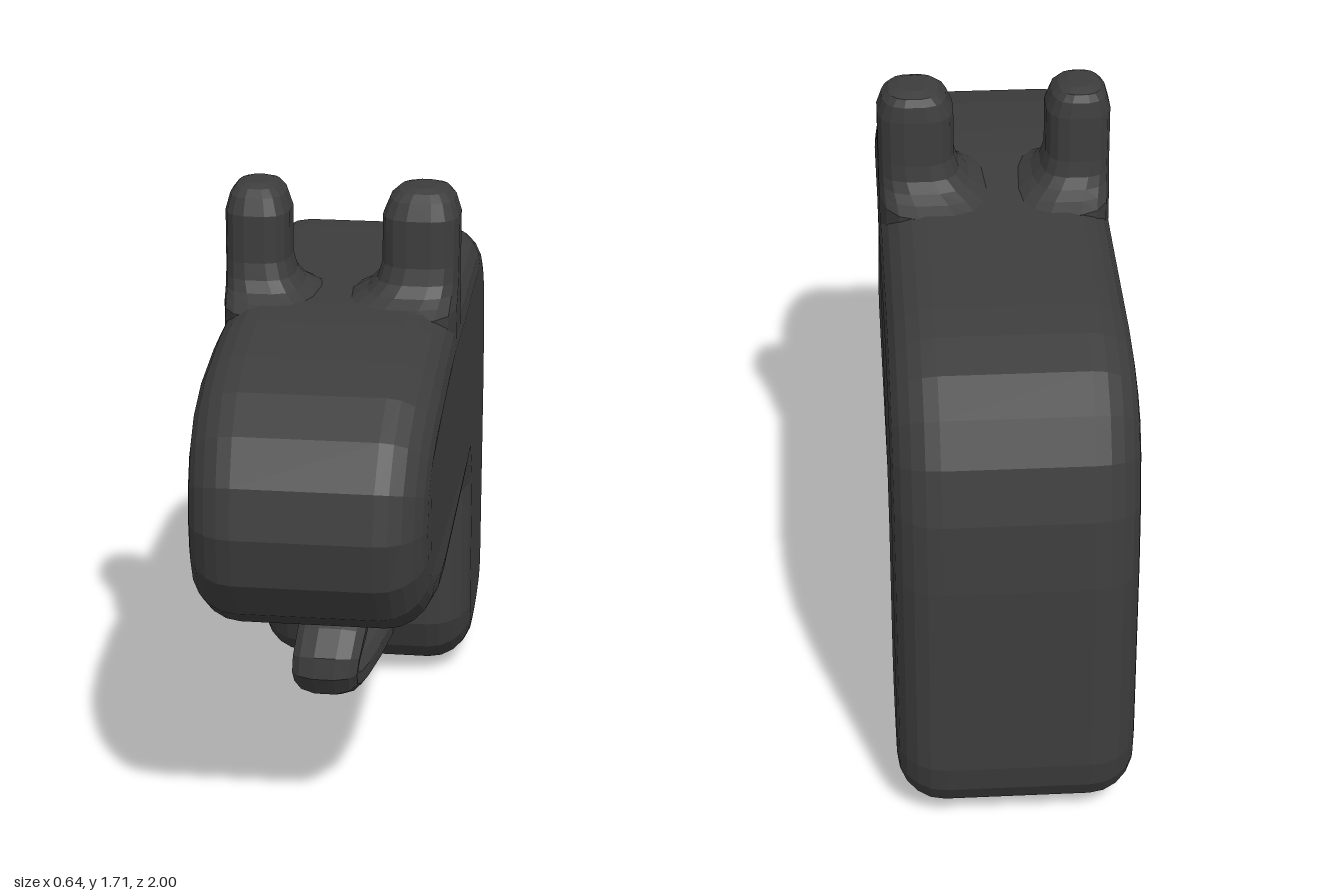
import * as THREE from 'three';

const charcoal = new THREE.MeshStandardMaterial({ color: 0x3d3d3d, flatShading: true });
charcoal.name = 'charcoal';

// Skin through rounded-square rings. Each section is [x, y, z, halfWidth, halfDepth, tilt];
// tilt turns the depth axis from +z (0) towards +y (PI / 2).
function loft(name, sections, sides = 16, power = 0.7) {
  const pos = [], idx = [];
  const soft = (v) => Math.sign(v) * Math.pow(Math.abs(v), power);
  sections.forEach(([x, y, z, a, b, tilt]) => {
    for (let j = 0; j < sides; j++) {
      const t = ((j + 0.5) / sides) * Math.PI * 2;
      const d = b * soft(Math.sin(t));
      pos.push(x + a * soft(Math.cos(t)), y + d * Math.sin(tilt), z + d * Math.cos(tilt));
    }
  });
  const last = sections.length - 1;
  for (let i = 0; i < last; i++) {
    for (let j = 0; j < sides; j++) {
      const k = (j + 1) % sides, p = i * sides, q = p + sides;
      idx.push(p + j, p + k, q + j, p + k, q + k, q + j);
    }
  }
  for (const i of [0, last]) {
    const c = pos.length / 3;
    pos.push(...sections[i].slice(0, 3));
    for (let j = 0; j < sides; j++) {
      const m = i * sides + j, n = i * sides + ((j + 1) % sides);
      if (i === 0) idx.push(c, n, m);
      else idx.push(c, m, n);
    }
  }
  const geo = new THREE.BufferGeometry();
  geo.setAttribute('position', new THREE.Float32BufferAttribute(pos, 3));
  geo.setIndex(idx);
  geo.computeVertexNormals();
  const mesh = new THREE.Mesh(geo, charcoal);
  mesh.name = name;
  return mesh;
}

// Head and neck: side outline (z, y) extruded across x with rounded edges
function makeBody() {
  const outline = [
    [1, 1.02], [0.975, 1.15], [0.9, 1.26], [0.78, 1.335], [0.62, 1.375], [0.4, 1.4],
    [0.25, 1.405], [-0.05, 1.39], [-0.55, 1.385], [-0.67, 1.37], [-0.79, 1.33],
    [-0.89, 1.26], [-0.95, 1.15], [-0.985, 1], [-1, 0.8], [-1, 0.22], [-0.985, 0.14],
    [-0.95, 0.08], [-0.88, 0.035], [-0.78, 0.01], [-0.67, 0], [-0.55, 0.01],
    [-0.45, 0.045], [-0.38, 0.11], [-0.345, 0.2], [-0.335, 0.61], [-0.31, 0.65],
    [0.47, 0.652], [0.62, 0.665], [0.78, 0.7], [0.9, 0.775], [0.975, 0.885],
  ];
  const shape = new THREE.Shape(outline.map(([z, y]) => new THREE.Vector2(z, y)));
  const bevel = 0.125, half = 0.32;
  const geo = new THREE.ExtrudeGeometry(shape, {
    depth: 2 * (half - bevel), bevelThickness: bevel, bevelSize: bevel,
    bevelOffset: -bevel, bevelSegments: 5, steps: 1,
  });
  geo.rotateY(-Math.PI / 2);
  geo.translate(half - bevel, 0, 0);
  // Muzzle narrows slightly towards its tip
  const p = geo.attributes.position;
  for (let i = 0; i < p.count; i++) {
    const t = Math.max(0, p.getZ(i) - 0.5) / 0.5;
    p.setX(i, p.getX(i) * (1 - 0.08 * t * t));
  }
  geo.computeVertexNormals();
  const mesh = new THREE.Mesh(geo, charcoal);
  mesh.name = 'headAndNeck';
  return mesh;
}

// Ear: rings from the tip down to a base flared into the head
function makeEar(name, side, width) {
  const rings = [ // y, inner edge, outer edge (fractions of width), back z, front z
    [1.705, 0.65, 0.3, 0.05, 0.15], [1.695, 0.8, 0.16, 0.02, 0.175],
    [1.675, 0.91, 0.07, 0.008, 0.197], [1.63, 1, 0, 0.003, 0.215],
    [1.5, 1, 0, 0.003, 0.217], [1.455, 1.07, 0, -0.003, 0.228],
    [1.425, 1.2, 0, -0.02, 0.25], [1.405, 1.36, 0, -0.05, 0.285],
    [1.385, 1.5, 0, -0.09, 0.33], [1.2, 1.5, 0, -0.09, 0.33],
  ];
  return loft(name, rings.map(([y, inner, outer, back, front]) => {
    const xi = 0.319 - width * inner, xo = 0.319 - width * outer;
    return [side * (xi + xo) / 2, y, (back + front) / 2, (xo - xi) / 2, (front - back) / 2, 0];
  }));
}

// Loop: leaves the neck, bends forward and down, and returns lower down
function makeLoop() {
  const H = Math.PI / 2;
  return loft('frontLoop', [
    [0, 0.4, -0.45, 0.2, 0.23, H], [0, 0.4, -0.345, 0.16, 0.18, H],
    [-0.01, 0.41, -0.3, 0.125, 0.125, H], [-0.015, 0.425, -0.25, 0.108, 0.093, H],
    [-0.02, 0.437, -0.16, 0.1, 0.065, H], [-0.02, 0.445, -0.06, 0.1, 0.053, H],
    [-0.02, 0.442, 0.02, 0.1, 0.048, H * 0.97], [-0.024, 0.422, 0.09, 0.1, 0.048, H * 0.75],
    [-0.03, 0.383, 0.155, 0.1, 0.05, H * 0.5], [-0.038, 0.335, 0.2, 0.098, 0.052, H * 0.2],
    [-0.042, 0.295, 0.205, 0.096, 0.052, -H * 0.1], [-0.042, 0.262, 0.18, 0.094, 0.053, -H * 0.55],
    [-0.035, 0.235, 0.115, 0.09, 0.055, -H * 0.85], [-0.02, 0.217, 0.02, 0.085, 0.06, -H * 0.92],
    [0, 0.2, -0.15, 0.082, 0.063, -H * 0.95], [0.015, 0.185, -0.33, 0.08, 0.068, -H],
    [0.02, 0.18, -0.47, 0.08, 0.068, -H],
  ], 12, 0.85);
}

export function createModel() {
  const model = new THREE.Group();
  model.name = 'animalHead';
  model.add(
    makeBody(),
    makeEar('leftEar', 1, 0.21),
    makeEar('rightEar', -1, 0.178),
    makeLoop(),
  );
  return model;
}
